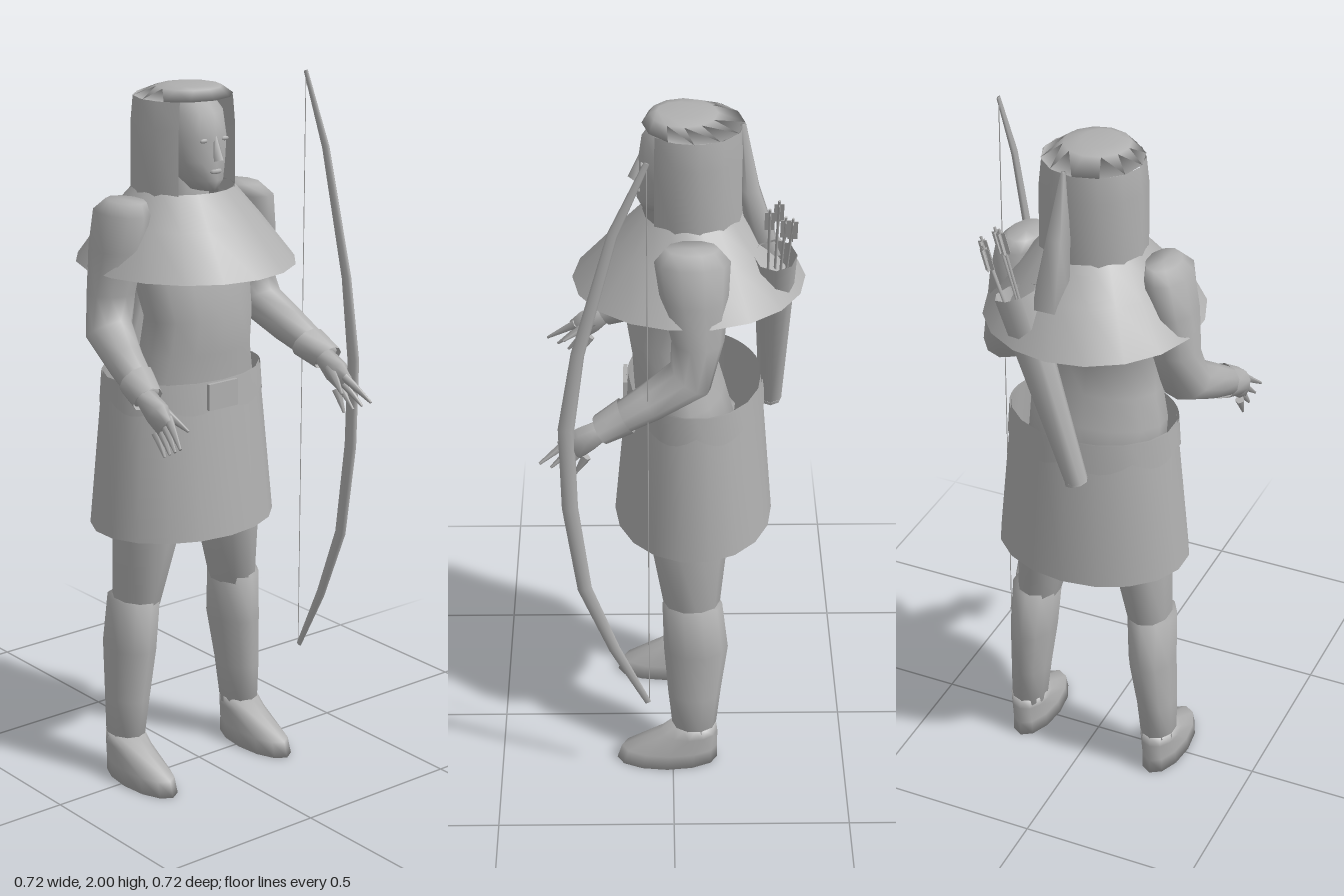
import * as THREE from 'three';

const grey = new THREE.MeshStandardMaterial({ color: 0xb0b0b0, side: THREE.DoubleSide });
grey.name = 'plain grey';

function add(parent, name, geometry) {
  const mesh = new THREE.Mesh(geometry, grey);
  mesh.name = name;
  parent.add(mesh);
  return mesh;
}

// Skin over rings listed top to bottom: [x, y, z, halfWidth, halfDepth, tilt forward].
function loft(rings, { n = 10, caps = true, gap = 0, drop = () => 0 } = {}) {
  const pos = [], idx = [], closed = gap === 0, cols = closed ? n : n + 1;
  const start = Math.PI / 2 + gap, sweep = Math.PI * 2 - gap * 2;
  rings.forEach(([x, y, z, w, d, t = 0], r) => {
    for (let i = 0; i < cols; i++) {
      const a = start + (i / n) * sweep, c = Math.cos(a) * w, s = Math.sin(a) * d;
      pos.push(x + c, y + s * Math.sin(t) - drop(r, i), z + s * Math.cos(t));
    }
  });
  for (let r = 0; r < rings.length - 1; r++) {
    for (let i = 0; i < n; i++) {
      const j = closed ? (i + 1) % n : i + 1;
      const a = r * cols + i, b = r * cols + j;
      idx.push(a, b, a + cols, b, b + cols, a + cols);
    }
  }
  if (caps && closed) {
    for (const r of [0, rings.length - 1]) {
      const c = pos.length / 3;
      pos.push(...rings[r].slice(0, 3));
      for (let i = 0; i < n; i++) {
        const a = r * cols + i, b = r * cols + ((i + 1) % n);
        if (r === 0) idx.push(c, b, a); else idx.push(c, a, b);
      }
    }
  }
  const g = new THREE.BufferGeometry();
  g.setAttribute('position', new THREE.Float32BufferAttribute(pos, 3));
  g.setIndex(idx);
  g.computeVertexNormals();
  return g;
}

// Straight tapered rod between two points.
function rod(parent, name, from, to, r0, r1, n = 6, open = false) {
  const a = new THREE.Vector3(...from), b = new THREE.Vector3(...to);
  const dir = b.clone().sub(a);
  const mesh = add(parent, name, new THREE.CylinderGeometry(r1, r0, dir.length(), n, 1, open));
  mesh.position.copy(a).add(b).multiplyScalar(0.5);
  mesh.quaternion.setFromUnitVectors(new THREE.Vector3(0, 1, 0), dir.normalize());
  return mesh;
}

function buildHead(body) {
  const head = new THREE.Group();
  head.name = 'head';
  body.add(head);
  add(head, 'face', loft([
    [0, 1.965, -0.02, 0.05, 0.06], [0, 1.92, -0.02, 0.08, 0.1], [0, 1.85, -0.02, 0.09, 0.11],
    [0, 1.79, -0.01, 0.08, 0.1], [0, 1.74, 0.01, 0.055, 0.085], [0, 1.71, 0.02, 0.03, 0.06],
  ], { n: 12 }));
  add(head, 'neck', loft([[0, 1.76, -0.04, 0.06, 0.06], [0, 1.55, -0.05, 0.08, 0.07]]));
  rod(head, 'nose', [0, 1.86, 0.083], [0, 1.795, 0.1], 0.006, 0.018, 4);
  const mouth = add(head, 'mouth', new THREE.SphereGeometry(0.022, 8, 4));
  mouth.scale.set(1, 0.35, 0.4);
  mouth.position.set(0, 1.765, 0.088);
  for (const s of [-1, 1]) {
    const eye = add(head, 'eye', new THREE.SphereGeometry(0.014, 8, 4));
    eye.scale.set(1, 0.45, 0.4);
    eye.position.set(s * 0.036, 1.85, 0.08);
  }

  // Hood: open-fronted wall, closed crown and hanging tail
  add(head, 'hoodWall', loft([
    [0, 1.955, -0.055, 0.138, 0.135], [0, 1.88, -0.055, 0.147, 0.138],
    [0, 1.67, -0.055, 0.148, 0.138],
  ], { n: 10, gap: 0.72 }));
  add(head, 'hoodCrown', loft([
    [-0.005, 1.988, -0.02, 0.05, 0.06], [0, 1.982, -0.03, 0.09, 0.09], [0, 1.955, -0.055, 0.138, 0.135],
  ], { n: 12 }));
  add(head, 'hoodTail', loft([
    [0.025, 1.96, -0.185, 0.008, 0.008], [0.035, 1.78, -0.205, 0.035, 0.03], [0.04, 1.6, -0.25, 0.055, 0.045],
  ], { n: 5 }));
}

function buildTorso(body) {
  add(body, 'cape', loft([
    [0, 1.705, -0.055, 0.145, 0.135], [0, 1.62, -0.055, 0.215, 0.215], [0, 1.5, -0.045, 0.3, 0.315],
  ], { n: 18, caps: false }));
  add(body, 'torso', loft([
    [0, 1.66, -0.045, 0.13, 0.08], [0, 1.55, -0.03, 0.185, 0.12], [0, 1.47, -0.02, 0.185, 0.12],
    [0, 1.36, 0.01, 0.17, 0.115], [0, 1.26, -0.005, 0.178, 0.115], [0, 1.17, -0.02, 0.2, 0.125],
    [0, 1.0, -0.05, 0.2, 0.14],
  ], { n: 14 }));
  add(body, 'tunicSkirt', loft([
    [-0.003, 1.19, -0.062, 0.238, 0.184], [-0.003, 0.745, -0.06, 0.28, 0.223],
  ], { n: 18, caps: false }));
  // Scalloped waistband and its clasp
  add(body, 'waistband', loft([
    [-0.003, 1.19, -0.062, 0.242, 0.188], [-0.003, 1.13, -0.062, 0.248, 0.194],
  ], { n: 48, caps: false, drop: (r, i) => r * 0.03 * Math.abs(Math.sin(i * Math.PI / 6)) }));
  const clasp = add(body, 'clasp', new THREE.BoxGeometry(0.1, 0.075, 0.012));
  clasp.position.set(-0.01, 1.15, 0.13);
}

function buildLimbs(body, s) {
  const side = s > 0 ? 'left' : 'right';
  const arm = new THREE.Group(), leg = new THREE.Group();
  arm.name = side + 'Arm';
  leg.name = side + 'Leg';
  body.add(arm, leg);

  // Shoulder and sleeve, bending forward at the elbow
  add(arm, 'sleeve', loft([
    [s * 0.2, 1.69, -0.05, 0.045, 0.07], [s * 0.215, 1.66, -0.05, 0.062, 0.1],
    [s * 0.232, 1.56, -0.055, 0.066, 0.09], [s * 0.243, 1.44, -0.065, 0.068, 0.07],
    [s * 0.265, 1.34, -0.045, 0.07, 0.065, 0.6], [s * 0.29, 1.28, 0.06, 0.055, 0.052, 1.05],
    [s * 0.315, 1.215, 0.185, 0.042, 0.036, 1.05],
  ]));
  add(arm, 'cuff', loft([
    [s * 0.302, 1.245, 0.125, 0.054, 0.05, 1.05], [s * 0.317, 1.21, 0.195, 0.046, 0.04, 1.05],
  ], { n: 10, caps: false }));

  // Hand with four fingers and a thumb
  add(arm, 'palm', loft([
    [s * 0.315, 1.215, 0.18, 0.03, 0.026, 0.95], [s * 0.315, 1.18, 0.235, 0.03, 0.04, 0.9],
    [s * 0.318, 1.15, 0.27, 0.016, 0.036, 0.9],
  ], { n: 8 }));
  for (let i = 0; i < 4; i++) {
    rod(arm, 'finger', [s * (0.31 + i * 0.003), 1.175 - i * 0.016, 0.275 - i * 0.014],
      [s * (0.335 - i * 0.006), 1.115 - i * 0.016, 0.358 - i * 0.03], 0.014, 0.004, 5);
  }
  rod(arm, 'thumb', [s * 0.3, 1.19, 0.225], [s * 0.27, 1.14, 0.31], 0.018, 0.004, 5);

  add(leg, 'thigh', loft([
    [s * 0.12, 1.02, -0.05, 0.1, 0.13], [s * 0.143, 0.75, -0.045, 0.086, 0.112],
    [s * 0.178, 0.5, -0.055, 0.06, 0.075],
  ]));
  add(leg, 'boot', loft([
    [s * 0.182, 0.54, -0.055, 0.07, 0.085], [s * 0.19, 0.39, -0.066, 0.067, 0.092],
    [s * 0.203, 0.24, -0.062, 0.058, 0.076], [s * 0.211, 0.11, -0.062, 0.052, 0.062],
  ]));
  add(leg, 'foot', loft([
    [s * 0.211, 0.13, -0.062, 0.053, 0.064], [s * 0.212, 0.1, -0.045, 0.055, 0.085],
    [s * 0.212, 0.045, 0.01, 0.06, 0.14], [s * 0.212, 0, 0.017, 0.063, 0.147],
  ], { n: 12 }));
}

function buildQuiver(root) {
  const quiver = new THREE.Group();
  quiver.name = 'quiver';
  root.add(quiver);
  rod(quiver, 'quiverCase', [-0.06, 1.09, -0.275], [0.115, 1.63, -0.27], 0.032, 0.058, 8, true);
  rod(quiver, 'quiverBase', [-0.06, 1.085, -0.275], [-0.057, 1.095, -0.275], 0.032, 0.032, 8);
  [[-0.025, 0], [0, 0.025], [0.02, -0.015], [0.005, -0.035]].forEach(([x, z], i) => {
    const top = [0.18 + x, 1.81 - i * 0.012, -0.275 + z];
    rod(quiver, 'arrowShaft', [0.09 + x * 0.7, 1.5, -0.27 + z * 0.7], top, 0.004, 0.004, 5);
    for (let k = 0; k < 2; k++) {
      const vane = add(quiver, 'arrowVane', new THREE.BoxGeometry(0.026, 0.06, 0.002));
      vane.position.set(top[0] - 0.012, top[1] - 0.04, top[2]);
      vane.rotation.set(0, k * Math.PI / 2, -0.28, 'ZYX');
    }
  });
}

function buildBow(root) {
  const bow = new THREE.Group();
  bow.name = 'bow';
  root.add(bow);
  // Limb points: [y, z, half depth, tilt]
  const limb = [
    [2.0, 0.067, 0.008, 0.4], [1.8, 0.155, 0.014, 0.4], [1.45, 0.25, 0.018, 0.2], [1.22, 0.285, 0.022, 0.1],
    [0.97, 0.28, 0.022, -0.1], [0.7, 0.245, 0.02, -0.25], [0.49, 0.165, 0.016, -0.45], [0.3, 0.072, 0.009, -0.45],
  ];
  add(bow, 'bowStave', loft(limb.map(([y, z, d, t]) => [0.32, y, z, d * 0.5, d, t]), { n: 8 }));
  rod(bow, 'bowString', [0.32, 0.31, 0.068], [0.32, 1.99, 0.068], 0.0015, 0.0015, 4);
}

export function createModel() {
  const root = new THREE.Group();
  root.name = 'archer';
  const body = new THREE.Group();
  body.name = 'body';
  body.position.x = -0.012;
  root.add(body);
  buildHead(body);
  buildTorso(body);
  for (const s of [-1, 1]) buildLimbs(body, s);
  buildQuiver(root);
  buildBow(root);
  return root;
}
